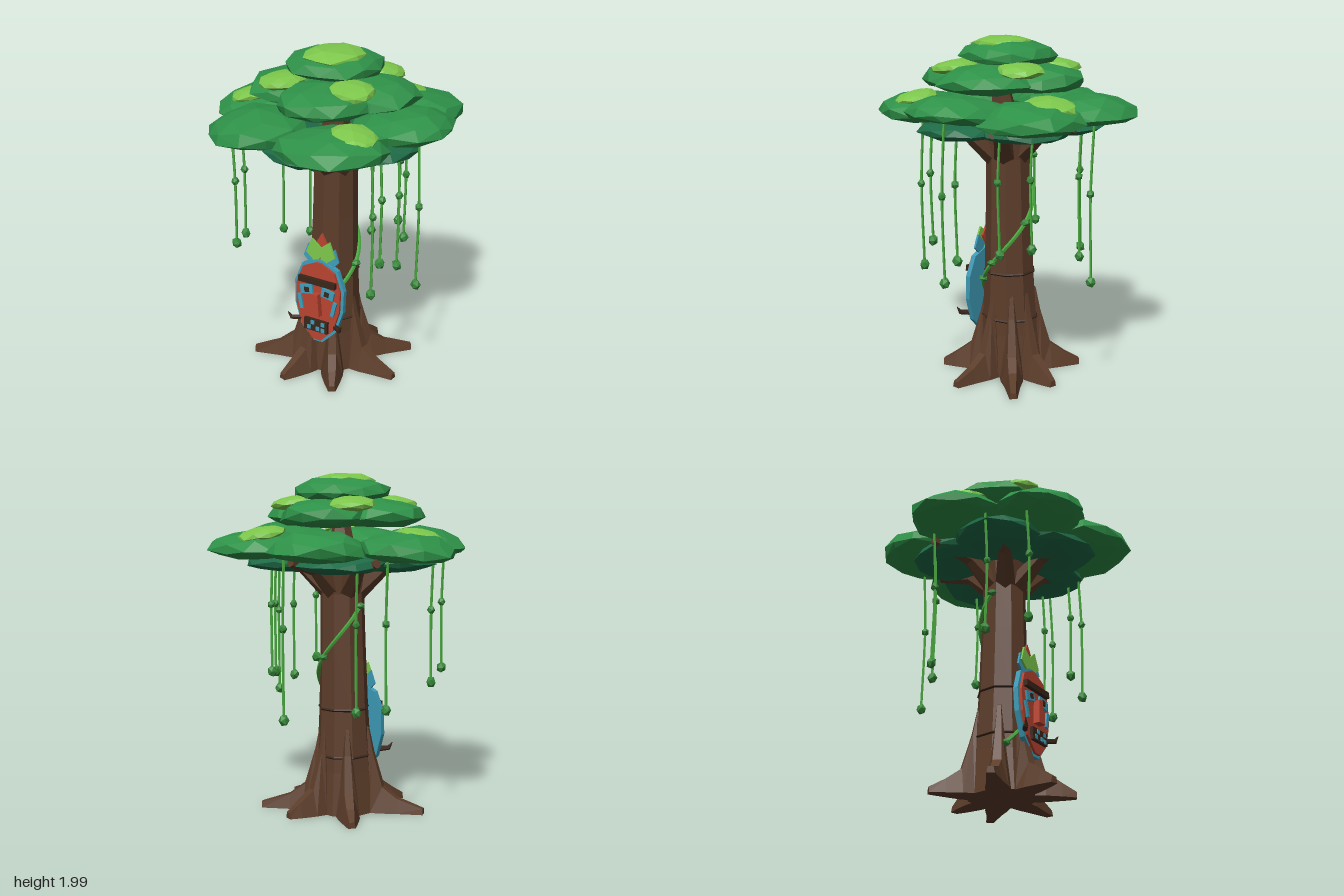
import * as THREE from 'three';

const mat = (color) => new THREE.MeshStandardMaterial({ color, flatShading: true, roughness: 0.9, side: THREE.DoubleSide });
const BARK = mat(0x5c3d2a), DARK_BARK = mat(0x3a2519), LEAF = mat(0x2e9148), SHADE = mat(0x1e6b47);
const LIGHT = mat(0x7cc64b), VINE = mat(0x4aa83f), BUD = mat(0x37893a), BLUE = mat(0x3d9cb8), RED = mat(0xb8432f);

function add(parent, name, geometry, material, x = 0, y = 0, z = 0) {
  const mesh = new THREE.Mesh(geometry, material);
  mesh.name = name;
  mesh.position.set(x, y, z);
  parent.add(mesh);
  return mesh;
}

// Faceted leaf mound: a jittered icosphere with a shallow underside
function mound(rx, up, down, rz, seed, detail = 1) {
  const g = new THREE.IcosahedronGeometry(1, detail);
  const p = g.attributes.position, v = new THREE.Vector3();
  for (let i = 0; i < p.count; i++) {
    v.fromBufferAttribute(p, i);
    const h = Math.sin(Math.round(v.x * 50) * 1.7 + Math.round(v.y * 50) * 3.1 + Math.round(v.z * 50) * 2.3 + seed * 5.9);
    const k = 1 + 0.06 * h;
    p.setXYZ(i, v.x * rx * k, v.y * (v.y > 0 ? up : down) * k, v.z * rz * k);
  }
  g.rotateY(seed * 1.3);
  g.computeVertexNormals();
  return g;
}

// Tapered limb between two points
function limb(parent, name, a, b, r0, r1, material) {
  const d = b.clone().sub(a);
  const m = add(parent, name, new THREE.CylinderGeometry(r1, r0, d.length(), 6), material);
  m.position.copy(a).addScaledVector(d, 0.5);
  m.quaternion.setFromUnitVectors(new THREE.Vector3(0, 1, 0), d.normalize());
}

// Trunk profile: radius, height
const TRUNK = [[0.2, 0], [0.168, 0.25], [0.148, 0.6], [0.136, 1.0], [0.13, 1.3], [0.15, 1.46]];
const centreX = (y) => 0.015 + Math.min(y, 1.3) * 0.015;

function trunkRadius(y) {
  const i = Math.max(1, TRUNK.findIndex((p) => p[1] >= y));
  const [r0, y0] = TRUNK[i - 1], [r1, y1] = TRUNK[i];
  return THREE.MathUtils.lerp(r0, r1, (y - y0) / (y1 - y0));
}

// Buttress root along +x, from sections: distance, ridge height, base width, ridge width
function rootGeometry(length) {
  const sections = [
    [0.12, 0.52, 0.13, 0.02], [0.15, 0.5, 0.13, 0.02], [0.178, 0.36, 0.14, 0.035], [0.24, 0.15, 0.13, 0.05],
    [0.33, 0.085, 0.09, 0.045], [length, 0.035, 0.045, 0.03],
  ];
  const pos = [], idx = [];
  for (const [r, h, w, t] of sections) pos.push(r, 0, -w / 2, r, h, -t / 2, r, h, t / 2, r, 0, w / 2);
  for (let i = 0; i < sections.length - 1; i++) {
    for (let j = 0; j < 4; j++) {
      const a = i * 4 + j, b = i * 4 + (j + 1) % 4;
      idx.push(a, b, a + 4, b, b + 4, a + 4);
    }
  }
  const e = (sections.length - 1) * 4;
  idx.push(e, e + 1, e + 2, e, e + 2, e + 3);
  const g = new THREE.BufferGeometry();
  g.setAttribute('position', new THREE.Float32BufferAttribute(pos, 3));
  g.setIndex(idx);
  g.computeVertexNormals();
  return g;
}

function plate(points, depth) {
  const shape = new THREE.Shape(points.map(([x, y]) => new THREE.Vector2(x, y)));
  return new THREE.ExtrudeGeometry(shape, { depth, bevelEnabled: false });
}

function makeMask() {
  const mask = new THREE.Group();
  mask.name = 'mask';
  mask.position.set(0.035, 0.48, 0.168);
  mask.rotation.x = -0.045;
  const half = [[0.03, -0.27], [0.12, -0.18], [0.165, -0.04], [0.168, 0.1], [0.12, 0.22], [0.02, 0.265]];
  const outline = [...half, ...half.map(([x, y]) => [-x, y]).reverse()];
  add(mask, 'maskBack', plate(outline, 0.03), BLUE, 0, 0, -0.015);
  add(mask, 'maskFace', plate(outline.map(([x, y]) => [x * 0.89, y * 0.94]), 0.025), RED, 0, 0, 0.005);
  add(mask, 'brow', new THREE.BoxGeometry(0.25, 0.036, 0.03), DARK_BARK, 0, 0.135, 0.04);
  add(mask, 'nose', plate([[-0.033, -0.08], [0.033, -0.08], [0.018, 0.06], [-0.018, 0.06]], 0.04), RED, 0, 0, 0.028);
  add(mask, 'mouth', new THREE.BoxGeometry(0.16, 0.075, 0.025), DARK_BARK, 0, -0.152, 0.036);
  for (const [x, y] of [[-0.045, -0.168], [0.015, -0.168], [-0.02, -0.133], [0.05, -0.133], [0.05, -0.172]]) {
    add(mask, 'tooth', new THREE.BoxGeometry(0.024, 0.026, 0.03), BLUE, x, y, 0.038);
  }
  for (const s of [-1, 1]) {
    add(mask, 'eye', new THREE.BoxGeometry(0.085, 0.056, 0.02), BLUE, s * 0.072, 0.07, 0.034).rotation.z = -s * 0.18;
    add(mask, 'pupil', new THREE.BoxGeometry(0.03, 0.03, 0.02), DARK_BARK, s * 0.068, 0.07, 0.04).rotation.z = -s * 0.18;
    add(mask, 'cheekStripe', new THREE.BoxGeometry(0.024, 0.095, 0.02), BLUE, s * 0.113, -0.02, 0.032).rotation.z = -s * 0.22;
    const p = (x, y, z) => new THREE.Vector3(s * x, y, z);
    limb(mask, 'tusk', p(0.12, -0.14, 0.02), p(0.165, -0.135, 0.055), 0.016, 0.014, DARK_BARK);
    limb(mask, 'tuskTip', p(0.16, -0.14, 0.052), p(0.185, -0.1, 0.065), 0.014, 0.002, DARK_BARK);
  }
  // Crest feathers: height, half width, position, lean, colour and layer
  const feather = (h, w, x, y, lean, material, z) => {
    add(mask, 'crestFeather', plate([[0, 0], [w, h * 0.5], [0, h], [-w, h * 0.5]], 0.012), material, x, y, z).rotation.z = lean;
  };
  feather(0.19, 0.055, 0, 0.24, 0, RED, -0.012);
  for (const s of [-1, 1]) {
    feather(0.16, 0.06, s * 0.02, 0.235, -s * 0.25, LIGHT, 0);
    feather(0.14, 0.045, s * 0.06, 0.21, -s * 0.22, BLUE, -0.01);
  }
  return mask;
}

export function createModel() {
  const tree = new THREE.Group();
  tree.name = 'tree';

  // Trunk: faceted lathe leaning slightly
  const profile = [[0, 0], ...TRUNK].map(([r, y]) => new THREE.Vector2(r, y));
  const trunk = new THREE.LatheGeometry(profile, 9);
  const tp = trunk.attributes.position;
  for (let i = 0; i < tp.count; i++) tp.setX(i, tp.getX(i) + centreX(tp.getY(i)));
  add(tree, 'trunk', trunk, BARK, 0, 0, -0.01);

  // Buttress roots: direction in degrees from +x toward the front, length
  for (const [angle, length] of [[6, 0.455], [60, 0.41], [107, 0.41], [156, 0.485], [223, 0.42], [284, 0.4], [320, 0.5]]) {
    add(tree, 'root', rootGeometry(length), BARK, 0.015, 0, -0.01).rotation.y = -THREE.MathUtils.degToRad(angle);
  }

  // Dark bands round the trunk
  for (const y of [0.34, 0.62]) {
    const band = add(tree, 'trunkBand', new THREE.TorusGeometry(trunkRadius(y), 0.008, 4, 9), DARK_BARK, centreX(y), y, -0.01);
    band.rotation.set(Math.PI / 2, 0, Math.PI / 2);
  }

  // Branches fanning out under the crown
  for (let k = 0; k < 6; k++) {
    const a = (k / 6) * Math.PI * 2 + 0.52, c = Math.cos(a), s = Math.sin(a);
    const mid = new THREE.Vector3(0.035 + c * 0.24, 1.455, s * 0.24);
    limb(tree, 'branch', new THREE.Vector3(0.035 + c * 0.07, 1.31, s * 0.07), mid, 0.07, 0.045, BARK);
    limb(tree, 'branchTip', mid, new THREE.Vector3(0.02 + c * 0.5, 1.5, s * 0.46), 0.045, 0.025, BARK);
  }
  limb(tree, 'topBranch', new THREE.Vector3(0.035, 1.42, 0), new THREE.Vector3(0.07, 1.72, 0.02), 0.1, 0.05, BARK);

  // Shaded undersides of the crown
  for (let k = 0; k < 5; k++) {
    const a = (k / 5) * Math.PI * 2 + 0.25;
    add(tree, 'crownUnderside', mound(0.26, 0.07, 0.05, 0.26, k + 20), SHADE, 0.04 + Math.cos(a) * 0.3, 1.48, Math.sin(a) * 0.3);
  }

  // Leaf mounds: x, y, z, radius x, height, radius z, outward tilt
  const mounds = [
    [-0.16, 1.56, -0.43, 0.27, 0.125, 0.3, 0], [0.32, 1.56, -0.39, 0.3, 0.12, 0.3, 0],
    [0.455, 1.59, -0.01, 0.295, 0.11, 0.31, 0.1], [0.26, 1.555, 0.42, 0.275, 0.12, 0.31, 0],
    [-0.24, 1.56, 0.37, 0.28, 0.125, 0.285, 0], [-0.45, 1.555, -0.02, 0.28, 0.115, 0.3, 0.05],
    [-0.01, 1.74, -0.19, 0.265, 0.11, 0.28, 0], [0.25, 1.74, -0.04, 0.265, 0.11, 0.29, 0],
    [0.1, 1.74, 0.23, 0.275, 0.11, 0.275, 0], [-0.18, 1.74, 0.07, 0.265, 0.11, 0.28, 0],
    [0.03, 1.88, -0.01, 0.275, 0.1, 0.28, 0],
  ];
  mounds.forEach(([x, y, z, rx, h, rz, tilt], i) => {
    add(tree, 'leafMound', mound(rx, h, 0.058, rz, i + 1), LEAF, x, y, z).rotation.z = tilt;
  });

  // Sunlit leaf patches, leaning outward: x, y, z, radius
  const patches = [
    [0.25, 1.645, -0.46, 0.15], [-0.49, 1.64, 0.04, 0.135], [0.37, 1.64, 0.4, 0.135], [0.21, 1.82, -0.23, 0.135],
    [-0.2, 1.82, -0.19, 0.135], [-0.17, 1.82, 0.22, 0.135], [0.25, 1.82, 0.2, 0.135], [0.05, 1.95, 0.03, 0.175],
  ];
  patches.forEach(([x, y, z, r], i) => {
    add(tree, 'sunlitPatch', mound(r, 0.046, 0.035, r, i + 40), LIGHT, x, y, z).rotation.set(z * 0.4, 0, -x * 0.4);
  });

  // Hanging vines with buds: x, z, lowest point
  const vines = [
    [-0.48, 0.18, 0.8], [-0.39, 0.4, 0.85], [-0.45, -0.19, 0.69], [-0.31, -0.28, 0.67], [0.27, -0.36, 0.85], [0.38, -0.22, 0.82],
    [0.44, 0.29, 0.69], [0.45, 0.21, 0.85], [0.46, 0.02, 0.76], [0.58, 0.01, 0.66], [-0.02, -0.56, 0.63],
  ];
  vines.forEach(([x, z, low], i) => {
    const middle = THREE.MathUtils.lerp(1.56, low, 0.45);
    const curve = new THREE.CatmullRomCurve3([
      new THREE.Vector3(x - 0.01, 1.56, z), new THREE.Vector3(x + 0.008, middle, z + 0.006), new THREE.Vector3(x, low, z),
    ]);
    add(tree, 'hangingVine', new THREE.TubeGeometry(curve, 8, 0.008, 5), VINE);
    add(tree, 'vineBud', mound(0.024, 0.026, 0.026, 0.024, i, 0), BUD, x + 0.008, middle, z + 0.006);
    add(tree, 'vineTipBud', mound(0.03, 0.035, 0.035, 0.03, i + 3, 0), BUD, x, low, z);
  });

  // Creeper winding up the trunk
  const creeper = [];
  for (let i = 0; i <= 16; i++) {
    const t = i / 16, y = 0.27 + 0.96 * t, a = THREE.MathUtils.degToRad(145 - 325 * t);
    const r = trunkRadius(y) + 0.006;
    creeper.push(new THREE.Vector3(centreX(y) + Math.cos(a) * r, y, Math.sin(a) * r - 0.01));
  }
  add(tree, 'creeper', new THREE.TubeGeometry(new THREE.CatmullRomCurve3(creeper), 48, 0.012, 5), VINE);
  for (const i of [0, 5, 7, 11, 16]) {
    add(tree, 'creeperLeaf', mound(0.032, 0.022, 0.022, 0.032, i, 0), BUD, ...creeper[i].toArray());
  }

  tree.add(makeMask());
  return tree;
}
